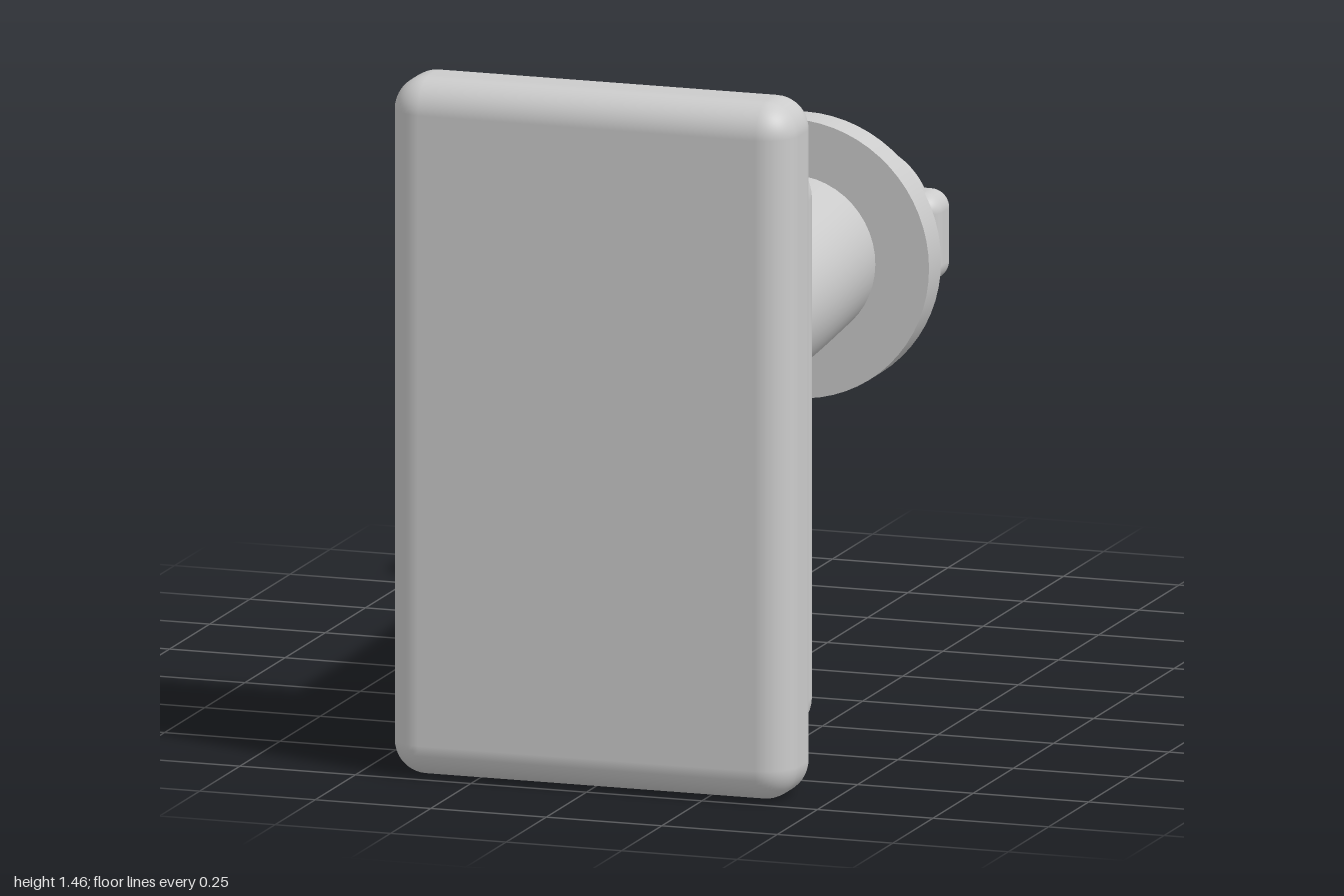
import * as THREE from 'three';
import { RoundedBoxGeometry } from 'three/addons/geometries/RoundedBoxGeometry.js';

export function createModel() {
  const group = new THREE.Group();
  const material = new THREE.MeshStandardMaterial({ color: 0xcccccc });
  const axisX = -0.1, axisY = 0.78; // centre line of the rear fittings

  function add(name, geometry, x, y, z) {
    const mesh = new THREE.Mesh(geometry, material);
    mesh.name = name;
    mesh.position.set(x, y, z);
    group.add(mesh);
    return mesh;
  }

  // Rounded block spanning z0 to z1
  function block(name, width, height, z0, z1, radius, x, y) {
    add(name, new RoundedBoxGeometry(width, height, z1 - z0, 6, radius), x, y, (z0 + z1) / 2);
  }

  // Round piece lying along z, spanning z0 to z1
  function disc(name, radius, z0, z1) {
    const geometry = new THREE.CylinderGeometry(radius, radius, z1 - z0, 64).rotateX(Math.PI / 2);
    add(name, geometry, axisX, axisY, (z0 + z1) / 2);
  }

  // Front plate and the smaller housing behind it
  block('frontPlate', 0.87, 1.46, 0.81, 1, 0.07, 0, 0.73);
  block('rearHousing', 0.775, 1.215, 0.64, 0.89, 0.085, 0, 0.687);

  // Gently curved arm, ends buried in the housing and the flange
  const path = new THREE.CatmullRomCurve3([
    [0.012, 0.846, 0.8],
    [-0.003, 0.828, 0.64],
    [-0.035, 0.792, 0.22],
    [-0.068, 0.775, -0.2],
    [-0.102, 0.782, -0.62],
  ].map((p) => new THREE.Vector3(...p)));
  add('arm', new THREE.TubeGeometry(path, 48, 0.174, 48), 0, 0, 0);

  // Wall flange and the collar behind it
  disc('flange', 0.292, -0.655, -0.58);
  disc('collar', 0.152, -0.81, -0.62);

  // Crossbar clamp between two rings
  block('crossbar', 0.465, 0.19, -0.91, -0.797, 0.04, axisX, 0.785);
  for (const [name, z] of [['collarRing', -0.816], ['endRing', -0.978]]) {
    add(name, new THREE.TorusGeometry(0.137, 0.022, 16, 64), axisX, axisY + 0.003, z);
  }

  return group;
}
